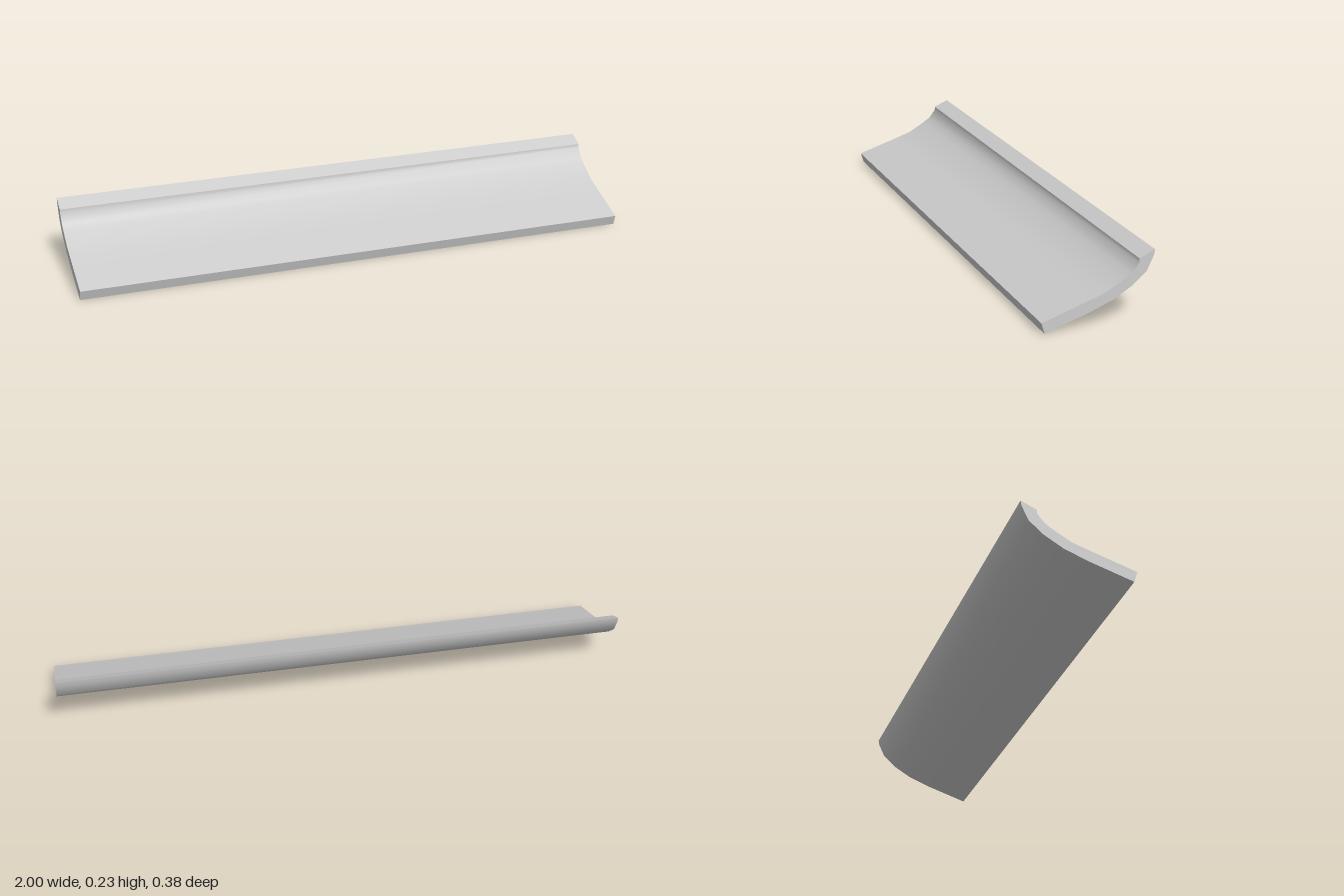
import * as THREE from 'three';
import { toCreasedNormals } from 'three/addons/utils/BufferGeometryUtils.js';

const LENGTH = 2;

// Cross-section as [z, y]: curved strip with an angled lip at the back
const upperCurve = [[0.188, 0.036], [0.042, 0.085], [-0.024, 0.108], [-0.083, 0.143],
  [-0.11, 0.161], [-0.135, 0.192], [-0.136, 0.206]];
const lip = [[-0.188, 0.23]];
const lowerCurve = [[-0.185, 0.212], [-0.162, 0.163], [-0.115, 0.121], [-0.051, 0.082],
  [0.028, 0.05], [0.177, 0]];

export function createModel() {
  const group = new THREE.Group();
  group.name = 'curvedTrim';

  // Extrude the section, then turn it so that it runs along x
  const section = [...upperCurve, ...lip, ...lowerCurve];
  const shape = new THREE.Shape(section.map(([z, y]) => new THREE.Vector2(-z, y)));
  const geometry = new THREE.ExtrudeGeometry(shape, { depth: LENGTH, bevelEnabled: false });
  geometry.translate(0, 0, -LENGTH / 2).rotateY(Math.PI / 2);

  // Smooth along the curve, sharp at the lip, front edge and ends
  const strip = new THREE.Mesh(
    toCreasedNormals(geometry, 0.65),
    new THREE.MeshStandardMaterial({ color: 0xcccccc })
  );
  strip.name = 'curvedStrip';
  group.add(strip);
  return group;
}
